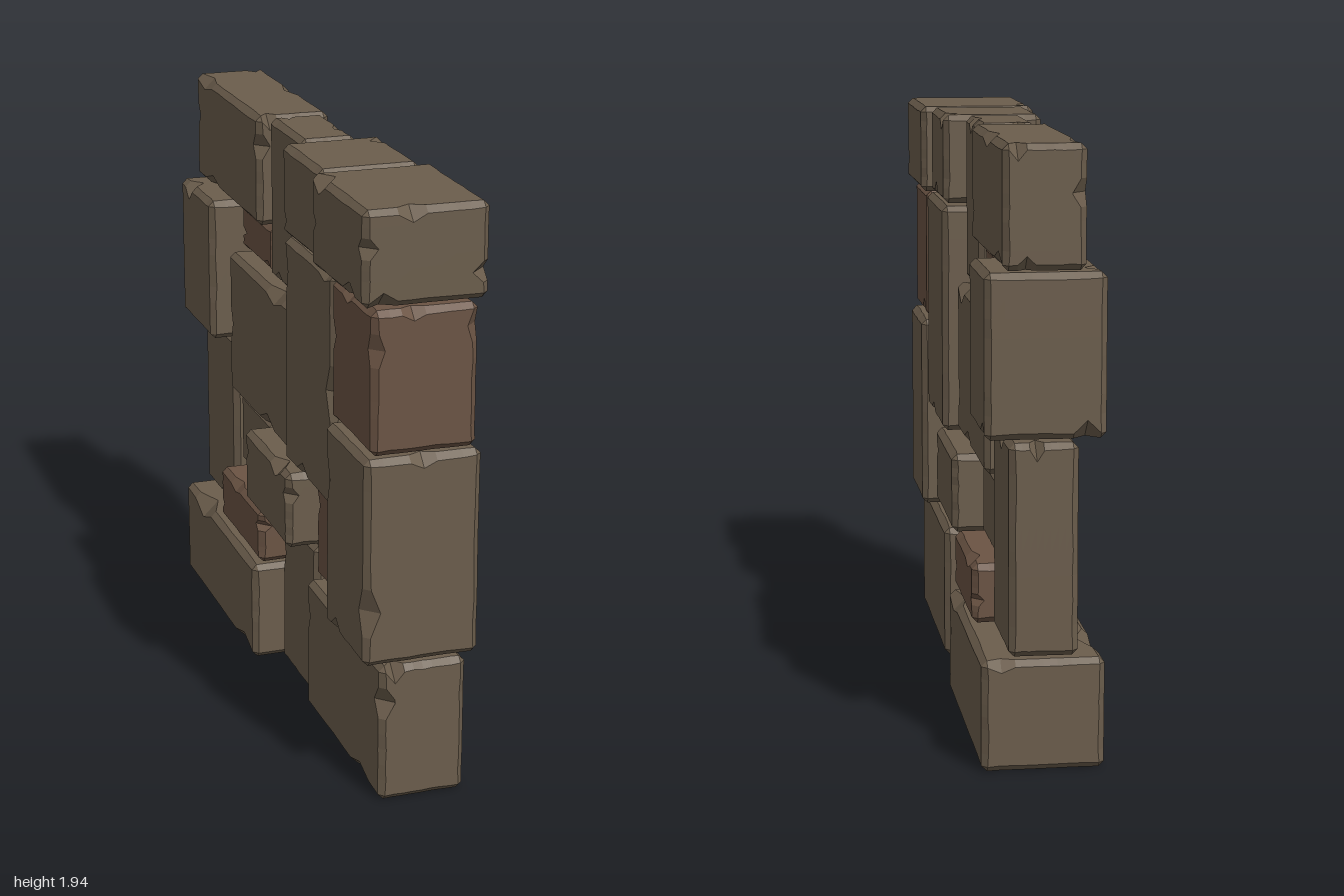
import * as THREE from 'three';

const SEG = 10;       // grid steps along every stone edge
const BEVEL = 0.018;  // width of the worn edges

// Small seeded generator, so that every stone chips the same way each time
function seeded(seed) {
  let s = seed >>> 0;
  return () => {
    s = (s * 1664525 + 1013904223) >>> 0;
    return s / 4294967296;
  };
}

// Bevelled block whose bevels widen here and there into chips
function stoneGeometry(size, seed) {
  const random = seeded(seed * 7919 + 17);
  for (let i = 0; i < 5; i++) random();

  // Bevel widths along the 12 edges: key = edge direction + its two sides
  const edges = {};
  for (let axis = 0; axis < 3; axis++) {
    for (let side = 0; side < 4; side++) {
      const widths = new Array(SEG + 1).fill(BEVEL);
      for (let i = 2; i < SEG - 1; i++) widths[i] += random() * 0.004;
      if (random() < 0.45) {
        const at = 2 + Math.floor(random() * (SEG - 3));
        widths[at] += 0.015 + random() * 0.025;
      }
      edges[axis * 4 + side] = widths;
    }
  }
  const edgeWidth = (axis, idx) => {
    const [a, b] = [0, 1, 2].filter((n) => n !== axis);
    const side = (idx[a] > SEG / 2 ? 1 : 0) + (idx[b] > SEG / 2 ? 2 : 0);
    return edges[axis * 4 + side][idx[axis]];
  };

  const geometry = new THREE.BoxGeometry(1, 1, 1, SEG, SEG, SEG);
  const pos = geometry.attributes.position;
  for (let v = 0; v < pos.count; v++) {
    const idx = [pos.getX(v), pos.getY(v), pos.getZ(v)].map((p) => Math.round((p + 0.5) * SEG));
    const extreme = idx.map((i) => i === 0 || i === SEG);
    const count = extreme.filter(Boolean).length;
    const out = idx.map((i, axis) => {
      const near = Math.min(i, SEG - i);
      let inset;
      if (near > 1) {
        // even spacing between the bevels
        return -size[axis] / 2 + BEVEL + (size[axis] - 2 * BEVEL) * (i - 1) / (SEG - 2);
      }
      if (near === 1) {
        // rim of a flat face, shared with the bevel beside it
        const third = [0, 1, 2].find((n) => n !== axis && !extreme[n]);
        inset = count === 1 ? edgeWidth(third, idx) : BEVEL;
      } else if (count === 1) {
        inset = 0;
      } else if (count === 2) {
        inset = edgeWidth(extreme.indexOf(false), idx) / 2;
      } else {
        inset = BEVEL * 2 / 3;
      }
      return (i < SEG / 2 ? -1 : 1) * (size[axis] / 2 - inset);
    });
    pos.setXYZ(v, ...out);
  }
  const flat = geometry.toNonIndexed();
  flat.computeVertexNormals();
  return flat;
}

// Each stone: [z from, z to, y from, y to, x from, x to, reddish]
const STONES = [
  // top course
  [0.51, 1.00, 1.64, 1.94, -0.20, 0.20],
  [0.12, 0.50, 1.64, 1.94, -0.17, 0.165],
  [-0.24, 0.11, 1.385, 1.94, -0.10, 0.09],
  [-1.00, -0.25, 1.56, 1.94, -0.14, 0.115],
  // upper middle
  [0.62, 1.00, 1.17, 1.63, -0.17, 0.17, true],
  [0.12, 0.61, 0.85, 1.63, -0.165, 0.17],
  [-0.61, -0.25, 1.385, 1.55, -0.09, 0.07, true],
  [-0.61, 0.11, 0.855, 1.375, -0.14, 0.12],
  [-1.00, -0.62, 1.045, 1.555, -0.205, 0.17],
  // lower middle
  [0.62, 1.00, 0.475, 1.16, -0.19, 0.19],
  [0.26, 0.61, 0.475, 0.84, -0.10, 0.08, true],
  [-0.235, 0.25, 0.575, 0.84, -0.20, 0.18],
  [-0.61, -0.245, 0.575, 0.84, -0.10, 0.08],
  [-1.00, -0.625, 0.365, 1.035, -0.12, 0.095],
  // bottom course
  [0.26, 1.00, 0.00, 0.465, -0.135, 0.15],
  [-0.12, 0.25, 0.00, 0.565, -0.10, 0.08],
  [-0.61, -0.13, 0.365, 0.56, -0.18, 0.16, true],
  [-1.00, -0.13, 0.00, 0.355, -0.205, 0.18],
];

export function createModel() {
  const group = new THREE.Group();
  group.name = 'stoneWall';
  const grey = new THREE.MeshStandardMaterial({ color: 0x6b5d4c, flatShading: true });
  const red = new THREE.MeshStandardMaterial({ color: 0x6b5444, flatShading: true });

  STONES.forEach(([z0, z1, y0, y1, x0, x1, reddish], i) => {
    const stone = new THREE.Mesh(
      stoneGeometry([x1 - x0, y1 - y0, z1 - z0], i + 1),
      reddish ? red : grey
    );
    stone.name = `${reddish ? 'reddishStone' : 'stone'}${i + 1}`;
    stone.position.set((x0 + x1) / 2, (y0 + y1) / 2, (z0 + z1) / 2);
    group.add(stone);
  });
  return group;
}
